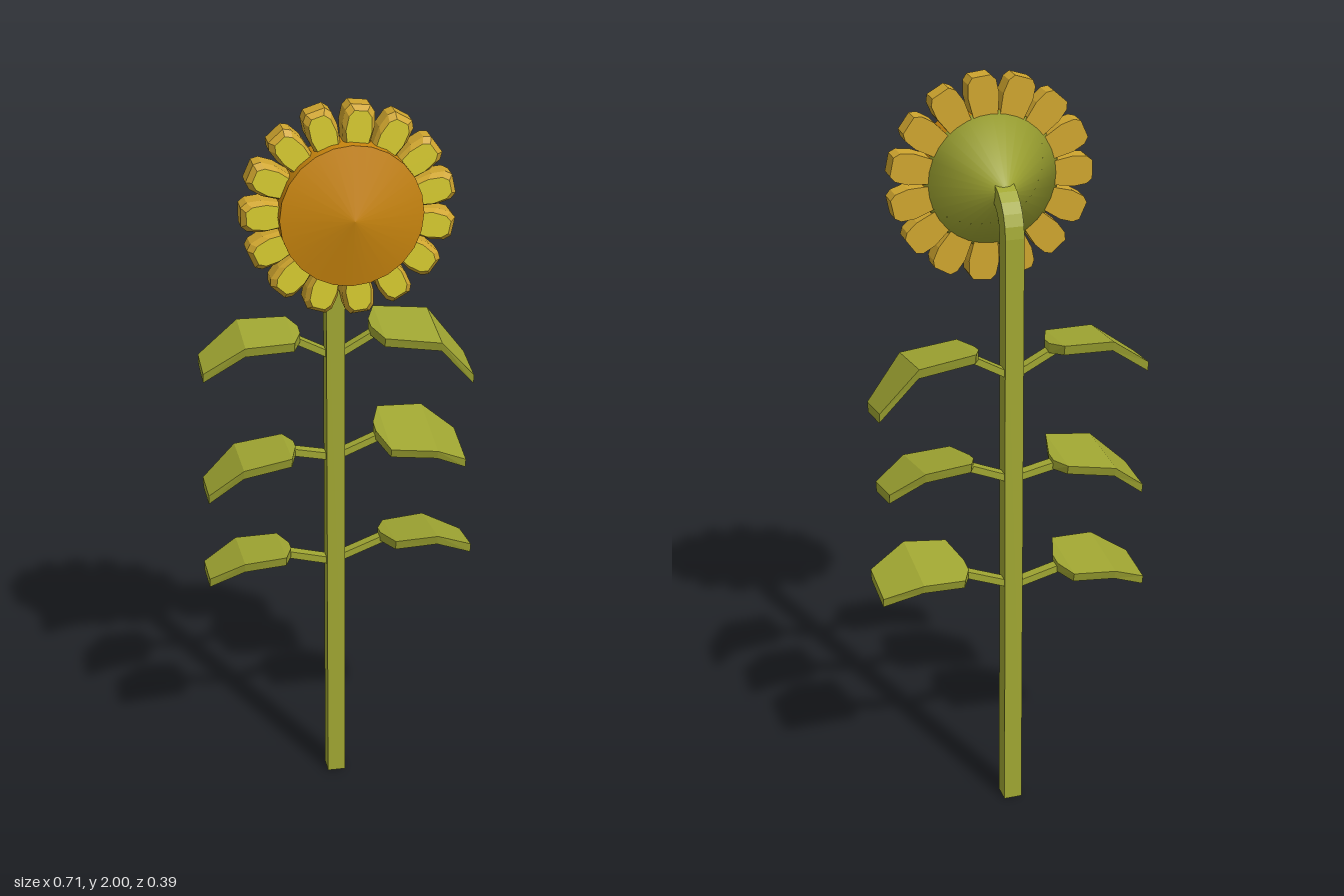
import * as THREE from 'three';

const green = new THREE.MeshStandardMaterial({ color: 0xa0a632 });
green.name = 'leaf green';
const gold = new THREE.MeshStandardMaterial({ color: 0xcfa52e });
gold.name = 'petal gold';
const yellow = new THREE.MeshStandardMaterial({ color: 0xd8cb30 });
yellow.name = 'petal yellow';
const orange = new THREE.MeshStandardMaterial({ color: 0xca860e });
orange.name = 'seed orange';

const CX = -0.006, HEAD_Y = 1.738, STEM_Z = -0.095;

// Flat-shaded solid through convex rings; group 1 is the cap on the last ring.
function loft(rings) {
  const tris = [], n = rings[0].length, last = rings.length - 1;
  for (let i = 0; i < last; i++) {
    for (let k = 0; k < n; k++) {
      const a = rings[i][k], b = rings[i][(k + 1) % n];
      const c = rings[i + 1][(k + 1) % n], d = rings[i + 1][k];
      tris.push([a, b, c], [a, c, d]);
    }
  }
  for (let k = 1; k < n - 1; k++) tris.push([rings[0][0], rings[0][k + 1], rings[0][k]]);
  const split = tris.length * 3;
  for (let k = 1; k < n - 1; k++) tris.push([rings[last][0], rings[last][k], rings[last][k + 1]]);

  // A negative volume means the faces point inward: turn them round
  let volume = 0;
  for (const [a, b, c] of tris) volume += a.dot(b.clone().cross(c));
  const points = tris.flatMap(([a, b, c]) => (volume < 0 ? [a, c, b] : [a, b, c]));
  const geo = new THREE.BufferGeometry().setFromPoints(points);
  geo.computeVertexNormals();
  geo.addGroup(0, split, 0);
  geo.addGroup(split, points.length - split, 1);
  return geo;
}

function add(parent, name, geo, material) {
  const mesh = new THREE.Mesh(geo, material);
  mesh.name = name;
  parent.add(mesh);
  return mesh;
}

const V = (x, y, z) => new THREE.Vector3(x, y, z);

// Square stem, upright and then bending forward into the head
function stemGeometry() {
  const h = 0.0245;
  const ring = (y, z, a) => [[-h, -h], [h, -h], [h, h], [-h, h]].map(([u, v]) =>
    V(CX + u, y - v * Math.sin(a), z + v * Math.cos(a)));
  const rings = [ring(0, STEM_Z, 0)];
  for (let i = 0; i <= 6; i++) {
    const a = (i / 6) * Math.PI / 2;
    rings.push(ring(1.64 + 0.095 * Math.sin(a), -0.095 * Math.cos(a), a));
  }
  return loft(rings);
}

// One leaf: slim stalk, then a thick blade folded down near the tip
function makeLeaf({ side, stalkY, y, x, z, roll, half }) {
  const leaf = new THREE.Group();
  leaf.name = side > 0 ? 'leftLeaf' : 'rightLeaf';
  const stalkRing = (px, py) => [[-1, -1], [1, -1], [1, 1], [-1, 1]].map(([u, v]) =>
    V(side * px, py + v * 0.01, -0.1 + u * 0.014));
  add(leaf, 'stalk', loft([stalkRing(0.01, stalkY), stalkRing(x[0] + 0.015, y[0] - 0.005)]), green);

  // Stations: distance out, height, half width, middle in z
  const stations = [
    [x[0] - 0.012, y[0], 0.02, -0.1],
    [x[0] + 0.012, y[0] + 0.004, half * 0.92, z],
    [x[1], y[1], half, z],
    [x[2], y[2], half * 0.66, z],
  ];
  const rings = stations.map(([px, py, w, pz]) =>
    [[-1, 0.012], [1, 0.012], [0.92, -0.014], [-0.92, -0.014]].map(([u, t]) =>
      V(side * px, py + t + roll * (pz + u * w - z), pz + u * w)));
  add(leaf, 'blade', loft(rings), green);
  return leaf;
}

const leaves = [
  { side: 1, stalkY: 1.28, x: [0.1, 0.26, 0.355], y: [1.345, 1.33, 1.215], z: -0.092, roll: -0.15, half: 0.093 },
  { side: -1, stalkY: 1.275, x: [0.11, 0.25, 0.357], y: [1.34, 1.342, 1.265], z: -0.093, roll: -0.1, half: 0.083 },
  { side: 1, stalkY: 0.99, x: [0.115, 0.25, 0.335], y: [1.045, 1.04, 0.985], z: -0.085, roll: -0.2, half: 0.108 },
  { side: -1, stalkY: 0.985, x: [0.125, 0.265, 0.355], y: [1.017, 1.0, 0.922], z: -0.075, roll: 0.06, half: 0.1 },
  { side: 1, stalkY: 0.68, x: [0.13, 0.255, 0.355], y: [0.738, 0.75, 0.705], z: -0.078, roll: 0.15, half: 0.1 },
  { side: -1, stalkY: 0.67, x: [0.14, 0.265, 0.357], y: [0.712, 0.71, 0.66], z: -0.095, roll: 0.1, half: 0.098 },
];

// One petal pointing along +x, bevelled round its front
function petalGeometry() {
  const outline = (inset, z) => {
    const half = [[0.13, 0.026], [0.215, 0.04], [0.25, 0.036], [0.265, 0.024]]
      .map(([r, w]) => [r - (r > 0.2 ? inset : 0), w - inset * 0.7]);
    const back = half.map(([r, w]) => [r, -w]).reverse();
    return [...half, ...back].map(([r, w]) => V(r, w, z));
  };
  return loft([outline(0, 0.062), outline(0, 0.112), outline(0.012, 0.127)]);
}

export function createModel() {
  const model = new THREE.Group();
  model.name = 'flower';
  add(model, 'stem', stemGeometry(), green);
  leaves.forEach((spec) => model.add(makeLeaf(spec)));

  const head = new THREE.Group();
  head.name = 'flowerHead';
  head.position.set(CX, HEAD_Y, 0);
  model.add(head);

  // Ring of petals
  const petal = petalGeometry();
  const count = 15;
  for (let i = 0; i < count; i++) {
    add(head, 'petal', petal, [gold, yellow]).rotation.z = Math.PI + (i / count) * Math.PI * 2;
  }

  // Seed disc with a shallow pointed face
  const rim = add(head, 'seedDiscRim', new THREE.CylinderGeometry(0.177, 0.177, 0.09, 24, 1, true), orange);
  rim.rotation.x = Math.PI / 2;
  rim.position.z = 0.111;
  const face = add(head, 'seedDiscFace', new THREE.ConeGeometry(0.177, 0.037, 24, 1, true), orange);
  face.rotation.x = Math.PI / 2;
  face.position.z = 0.1745;

  // Green cone behind the petals
  const profile = [[0, -0.048], [0.018, -0.042], [0.176, 0.068], [0, 0.068]]
    .map(([r, h]) => new THREE.Vector2(r, h));
  add(head, 'flowerBack', new THREE.LatheGeometry(profile, 32), green).rotation.x = Math.PI / 2;

  return model;
}
